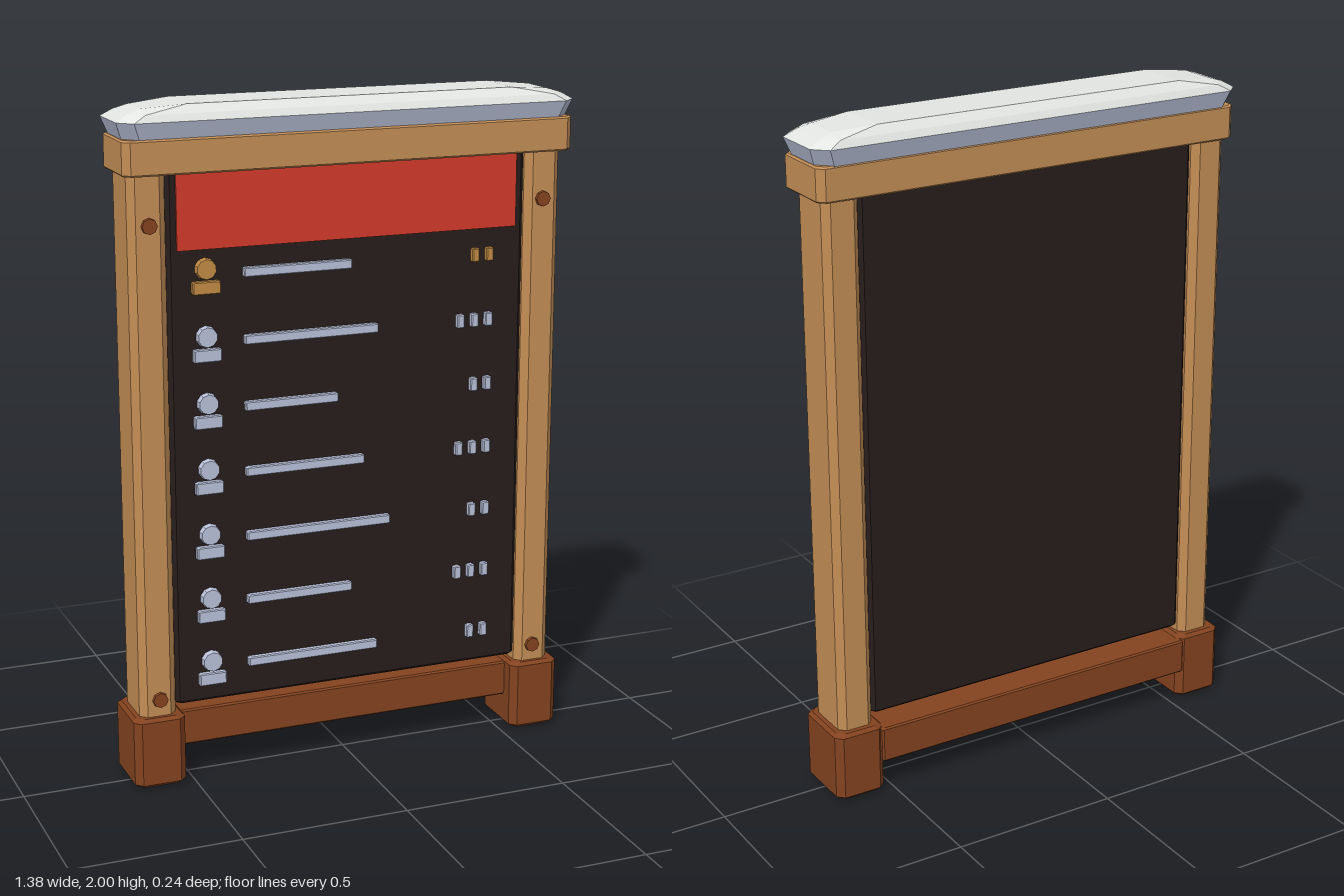
import * as THREE from 'three';
import { ConvexGeometry } from 'three/addons/geometries/ConvexGeometry.js';

function material(name, color) {
  const m = new THREE.MeshStandardMaterial({ color, flatShading: true });
  m.name = name;
  return m;
}

// Octagonal ring of points at height y, corners cut by c
function ring(y, hx, hz, c) {
  const points = [];
  for (const sx of [-1, 1]) for (const sz of [-1, 1]) {
    points.push(new THREE.Vector3(sx * hx, y, sz * (hz - c)));
    points.push(new THREE.Vector3(sx * (hx - c), y, sz * hz));
  }
  return points;
}

// Rectangle of four points at height y
function corners(y, hx, hz) {
  return [-1, 1].flatMap((sx) => [-1, 1].map((sz) => new THREE.Vector3(sx * hx, y, sz * hz)));
}

// Box with cut upright edges (c) and bevelled top and bottom (b)
function chamferBox(w, h, d, c, b) {
  const hx = w / 2, hy = h / 2, hz = d / 2;
  return new ConvexGeometry([
    ...ring(-hy, hx - b, hz - b, c), ...ring(-hy + b, hx, hz, c),
    ...ring(hy - b, hx, hz, c), ...ring(hy, hx - b, hz - b, c),
  ]);
}

export function createModel() {
  const wood = material('wood', 0xc48e56);
  const darkWood = material('darkWood', 0x844320);
  const boardBlack = material('boardBlack', 0x271d1c);
  const red = material('red', 0xd43a2b);
  const silver = material('silver', 0xbac2da);
  const gold = material('gold', 0xc48c45);
  const white = material('white', 0xe2e5e2);

  const model = new THREE.Group();
  model.name = 'noticeBoard';
  function add(name, geometry, mat, x = 0, y = 0, z = 0, parent = model) {
    const mesh = new THREE.Mesh(geometry, mat);
    mesh.name = name;
    mesh.position.set(x, y, z);
    parent.add(mesh);
    return mesh;
  }
  // Forward-facing disc with a slight taper, and a small bevelled plate
  const disc = (radius, depth, sides) =>
    new THREE.CylinderGeometry(radius * 0.9, radius, depth, sides).rotateX(Math.PI / 2);
  const plate = (w, h) => chamferBox(w, h, 0.02, 0.003, 0.003);

  // Posts, feet and bolts, mirrored
  for (const side of [-1, 1]) {
    const label = side > 0 ? 'left' : 'right';
    add(label + 'Post', chamferBox(0.11, 1.82, 0.164, 0.02, 0), wood, side * 0.605, 0.91, -0.008);
    add(label + 'Foot', chamferBox(0.156, 0.215, 0.21, 0.02, 0.01), darkWood, side * 0.606, 0.1125, -0.01);
    for (const y of [0.271, 1.668])
      add(label + 'Bolt', disc(0.025, 0.03, 8), darkWood, side * 0.602, y, 0.069);
  }

  // Rails
  add('bottomRail', chamferBox(1.08, 0.11, 0.16, 0.005, 0.005), darkWood, 0, 0.155, -0.042);
  add('topBeam', chamferBox(1.36, 0.1, 0.217, 0.02, 0.005), wood, 0, 1.86, 0.002);

  // Board and its header
  add('board', chamferBox(1.098, 1.58, 0.135, 0.012, 0.008), boardBlack, 0, 1.03, -0.0075);
  add('header', new THREE.BoxGeometry(1.04, 0.225, 0.012), red, 0, 1.7025, 0.06);

  // Roof: flared band with a faceted cap that droops at the ends
  add('roofBand', new ConvexGeometry([
    ...ring(1.908, 0.672, 0.105, 0.04), ...ring(1.957, 0.69, 0.12, 0.04),
  ]), silver);
  add('roofCap', new ConvexGeometry([
    ...ring(1.957, 0.69, 0.12, 0.04), ...ring(1.977, 0.655, 0.108, 0.04),
    ...corners(1.989, 0.615, 0.06), ...corners(2.0, 0.49, 0.085),
  ]), white);

  // Entries: badge, line and tally marks
  const lineEnds = [0, 0.082, -0.043, 0.039, 0.122, 0, 0.082];
  lineEnds.forEach((end, i) => {
    const row = new THREE.Group();
    row.name = 'entry' + (i + 1);
    row.position.set(0, 1.518 - 0.195 * i, 0.068);
    model.add(row);
    const accent = i === 0 ? gold : silver;
    add('badgeHead', disc(0.032, 0.02, 10), accent, -0.438, 0.017, 0, row);
    add('badgeBody', plate(0.083, 0.038), accent, -0.438, -0.036, 0, row);
    add('line', plate(end + 0.327, 0.028), silver, (end - 0.327) / 2, 0, 0, row);
    for (let k = 0; k < (i % 2 ? 3 : 2); k++)
      add('tallyMark', plate(0.023, 0.041), accent, 0.435 - 0.045 * k, -0.004, 0, row);
  });
  return model;
}
